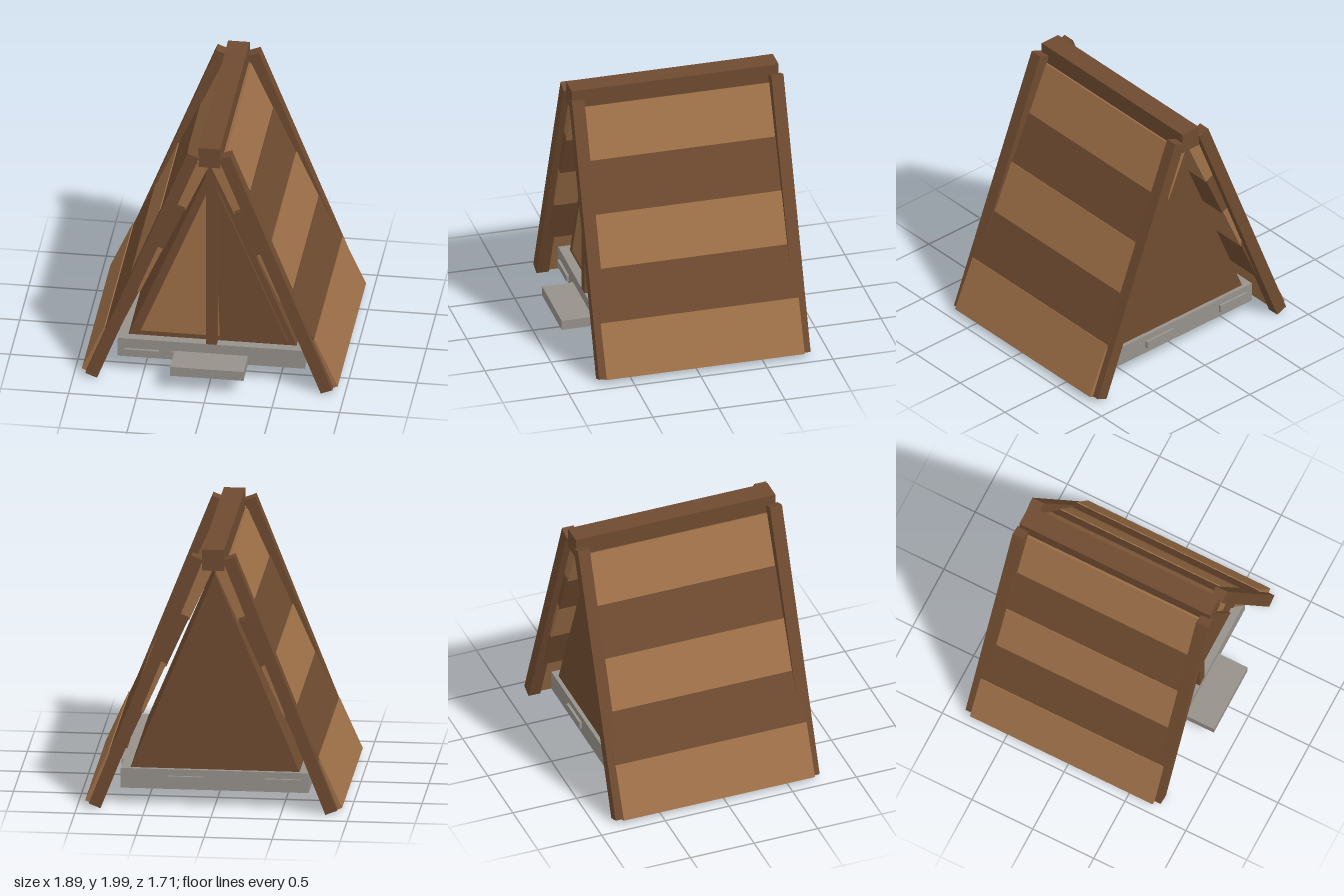
import * as THREE from 'three';

export function createModel() {
  const model = new THREE.Group();
  const paint = (name, color) => {
    const m = new THREE.MeshStandardMaterial({ color });
    m.name = name;
    return m;
  };
  const darkWood = paint('dark wood', 0x6f4b30);
  const lightWood = paint('light wood', 0x9f7149);
  const stone = paint('stone', 0x96918b);

  const add = (name, geometry, material, x, y, z, tilt = 0) => {
    const mesh = new THREE.Mesh(geometry, material);
    mesh.name = name;
    mesh.position.set(x, y, z);
    mesh.rotation.z = tilt;
    model.add(mesh);
    return mesh;
  };
  // Box given by its low and high bounds
  const block = (name, material, x0, x1, y0, y1, z0, z1) =>
    add(name, new THREE.BoxGeometry(x1 - x0, y1 - y0, z1 - z0), material,
      (x0 + x1) / 2, (y0 + y1) / 2, (z0 + z1) / 2);
  // Flat outline pushed from z0 to z1
  const slab = (name, material, points, z0, z1) => {
    const shape = new THREE.Shape(points.map(([x, y]) => new THREE.Vector2(x, y)));
    const geometry = new THREE.ExtrudeGeometry(shape, { depth: z1 - z0, bevelEnabled: false });
    return add(name, geometry, material, 0, 0, z0);
  };

  // Ridge beam
  block('ridgeBeam', darkWood, -0.08, 0.08, 1.84, 2, -0.84, 0.727);

  for (const side of [-1, 1]) {
    // Leaning rafters at both ends
    for (const [z0, z1] of [[0.652, 0.747], [-0.855, -0.763]]) {
      add('rafter', new THREE.BoxGeometry(0.092, 2.06, z1 - z0), darkWood,
        side * 0.492, 0.981, (z0 + z1) / 2, side * 0.374);
    }
    // Roof planks, each one stepping out below the last
    for (let i = 0; i < 5; i++) {
      add('roofPlank', new THREE.BoxGeometry(0.1, 0.417, 1.5), i % 2 ? darkWood : lightWood,
        side * (0.813 - 0.168 * i), 0.217 + 0.36 * i, -0.052, side * 0.419);
    }
  }

  // Stone floor and doorstep
  block('floor', stone, -0.69, 0.69, 0.13, 0.28, -0.73, 0.62);
  block('doorstep', stone, -0.27, 0.27, 0.13, 0.205, 0.6, 0.855);

  // Raised stones around the floor
  for (const x of [-0.64, -0.29]) block('frontStone', stone, x, x + 0.255, 0.15, 0.2, 0.6, 0.64);
  for (const x of [-0.63, 0.08]) block('backStone', stone, x, x + 0.26, 0.175, 0.232, -0.75, -0.7);
  for (const side of [-1, 1]) {
    [-0.45, 0.2].forEach((z, i) => {
      const y = i ? 0.15 : 0.215;
      const x = side * 0.69;
      block('sideStone', stone, x - 0.022, x + 0.022, y, y + 0.052, z, z + 0.26);
    });
  }
  block('sidePeg', darkWood, 0.69, 0.78, 0.165, 0.25, -0.1, 0.1);

  // Inner hut with its front panels and centre post
  slab('hutBody', darkWood, [[-0.62, 0.28], [0.62, 0.28], [0, 1.775]], -0.7, 0.55);
  slab('leftFrontPanel', lightWood, [[-0.53, 0.32], [-0.03, 0.32], [-0.03, 1.55]], 0.55, 0.558);
  slab('rightFrontPanel', darkWood, [[0.055, 0.32], [0.555, 0.32], [0.04, 1.55], [0.04, 0.8]], 0.55, 0.57);
  slab('doorEdge', lightWood, [[0.04, 0.32], [0.055, 0.32], [0.04, 0.8]], 0.55, 0.558);
  block('centrePost', darkWood, -0.04, 0.04, 0.28, 1.78, 0.53, 0.62);

  return model;
}
